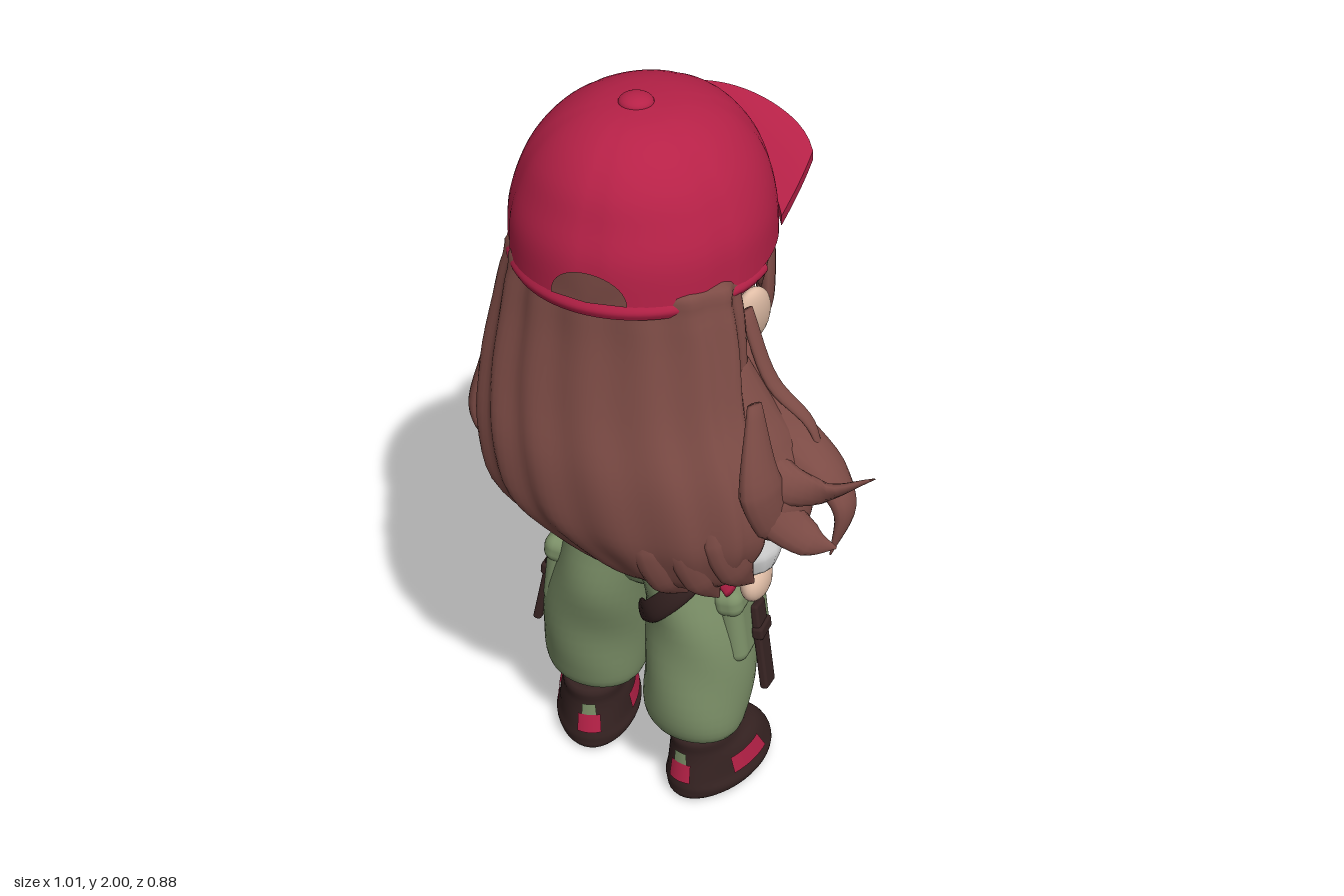
import * as THREE from 'three';
import { mergeVertices } from 'three/addons/utils/BufferGeometryUtils.js';
import { RoundedBoxGeometry } from 'three/addons/geometries/RoundedBoxGeometry.js';

const mat = (name, color, side = THREE.FrontSide) => {
  const m = new THREE.MeshStandardMaterial({ color, side });
  m.name = name;
  return m;
};
const CX = -0.125; // the body's own centre line

// Closed skin over a grid of points, rows running along the part
function skin(grid) {
  const n = grid[0].length, index = [];
  for (let i = 0; i < grid.length - 1; i++) for (let j = 0; j < n - 1; j++) {
    const a = i * n + j, c = a + n;
    index.push(a, a + 1, c + 1, a, c + 1, c);
  }
  let g = new THREE.BufferGeometry().setFromPoints(grid.flat());
  g.setIndex(index);
  g = mergeVertices(g, 1e-5);
  g.computeVertexNormals();
  return g;
}

// Smooth stack of ellipses, rows ascending: [y, cx, cz, rx, rz]
function loft(rows, { n = 40, from = 0, to = Math.PI * 2, ridge = () => 1 } = {}) {
  const curve = (f) => new THREE.CatmullRomCurve3(rows.map(f), false, 'catmullrom', 0.5);
  const mid = curve((r) => new THREE.Vector3(r[1], r[0], r[2]));
  const rad = curve((r) => new THREE.Vector3(r[3], 0, r[4]));
  const count = (rows.length - 1) * 4, grid = [];
  for (let i = 0; i <= count; i++) {
    const p = mid.getPoint(i / count), r = rad.getPoint(i / count), row = [];
    for (let j = 0; j <= n; j++) {
      const a = from + (to - from) * (j === n && to - from > 6.28 ? 0 : j / n), k = ridge(a, p.y);
      row.push(new THREE.Vector3(p.x + Math.max(r.x, 0) * k * Math.sin(a), p.y, p.z + Math.max(r.z, 0) * k * Math.cos(a)));
    }
    grid.push(row);
  }
  return skin(grid);
}

// Tapered strand along a path, flattened towards a vertical axis at (cx, cz)
function strand(points, radii, flat = 1, cx = CX, cz = 0.05) {
  const curve = new THREE.CatmullRomCurve3(points.map((p) => new THREE.Vector3(...p)));
  const count = (points.length - 1) * 6, n = 14, grid = [];
  for (let i = -1; i <= count + 1; i++) {
    const t = Math.min(Math.max(i / count, 0), 1), p = curve.getPoint(t), T = curve.getTangent(t);
    const N = new THREE.Vector3(p.x - cx, 0, p.z - cz);
    N.addScaledVector(T, -N.dot(T)).normalize();
    const B = new THREE.Vector3().crossVectors(N, T);
    const f = t * (radii.length - 1), k = Math.min(Math.floor(f), radii.length - 2);
    const r = i < 0 || i > count ? 0 : radii[k] + (radii[k + 1] - radii[k]) * (f - k);
    const row = [];
    for (let j = 0; j <= n; j++) {
      const a = ((j % n) / n) * Math.PI * 2;
      row.push(p.clone().addScaledVector(B, r * Math.cos(a)).addScaledVector(N, r * flat * Math.sin(a)));
    }
    grid.push(row);
  }
  return skin(grid);
}

export function createModel() {
  const root = new THREE.Group();
  root.name = 'girlWithCap';
  const red = mat('crimson', 0xb62147, THREE.DoubleSide), hair = mat('hairBrown', 0x7c4b45);
  const skinM = mat('skin', 0xe0bda6), white = mat('white', 0xe6e6e6);
  const green = mat('olive', 0x7b8f67), dark = mat('darkBrown', 0x362322), iris = mat('irisBrown', 0x6a3a38);
  const add = (name, geo, m, parent = root) => {
    const mesh = new THREE.Mesh(geo, m);
    mesh.name = name;
    parent.add(mesh);
    return mesh;
  };
  const ball = (name, m, p, s, parent) => {
    const b = add(name, new THREE.SphereGeometry(1, 24, 16), m, parent);
    b.position.set(...p);
    b.scale.set(...s);
    return b;
  };

  // Head, neck, ears and eyes
  add('head', loft([[1.29, CX, -0.06, 0, 0], [1.3, CX, -0.06, 0.1, 0.1], [1.335, CX, -0.03, 0.18, 0.17], [1.42, CX, 0, 0.235, 0.23],
    [1.5, CX, 0.02, 0.245, 0.225], [1.6, CX, 0.04, 0.25, 0.23], [1.7, CX, 0.05, 0.25, 0.23], [1.8, CX, 0.05, 0.2, 0.2], [1.85, CX, 0.05, 0, 0]]), skinM);
  add('neck', loft([[1.22, CX, 0.015, 0.058, 0.053], [1.38, CX, 0.015, 0.058, 0.053]]), skinM);
  add('collar', loft([[1.255, CX, 0.015, 0.085, 0.07], [1.28, CX, 0.015, 0.077, 0.066], [1.305, CX, 0.015, 0.066, 0.058]]), dark);
  for (const s of [-1, 1]) {
    const ear = ball('ear', skinM, [CX + s * 0.258, 1.465, 0.04], [0.03, 0.086, 0.056]);
    ear.rotation.set(0.22, s * -0.45, s * -0.12);
    const eye = new THREE.Group();
    eye.name = 'eye';
    eye.position.set(CX + s * 0.12, 1.5, -0.178);
    eye.rotation.y = -s * 0.48;
    ball('eyeWhite', white, [0, 0, -0.001], [0.054, 0.054, 0.005], eye);
    ball('iris', iris, [0, 0, -0.004], [0.042, 0.054, 0.005], eye);
    ball('pupil', dark, [0, 0.005, -0.007], [0.014, 0.022, 0.004], eye);
    ball('lash', dark, [0, 0.052, -0.005], [0.052, 0.007, 0.005], eye);
    root.add(eye);
  }

  // Cap: crown, rear rim and opening, button, arched brim
  const seam = (a) => 1 - 0.014 * (1 - Math.abs(Math.sin(3 * a))) ** 4;
  const crown = loft([[1.61, CX, 0.05, 0.305, 0.32], [1.72, CX, 0.05, 0.3, 0.315], [1.8, CX, 0.042, 0.28, 0.298], [1.87, CX, 0.042, 0.243, 0.27],
    [1.93, CX, 0.045, 0.185, 0.215], [1.97, CX, 0.06, 0.105, 0.125], [1.985, CX, 0.08, 0, 0]], { n: 72, ridge: seam });
  const cp = crown.attributes.position;
  for (let i = 0; i < cp.count; i++) {
    const y = cp.getY(i);
    if (y < 1.75) cp.setY(i, y + (0.37 - cp.getZ(i)) * 0.08 * (1.75 - y) / 0.14);
  }
  crown.computeVertexNormals();
  add('capCrown', crown, red);
  add('capRearStrap', loft([[1.6, CX, 0.05, 0.3, 0.318], [1.618, CX, 0.05, 0.309, 0.325], [1.638, CX, 0.05, 0.3, 0.318]], { from: -1.5, to: 1.5 }), red);
  ball('capButton', red, [CX, 1.98, 0.08], [0.04, 0.02, 0.04]);
  const hole = new THREE.CircleGeometry(1, 20, 0, Math.PI), hp = hole.attributes.position;
  for (let i = 0; i < hp.count; i++) {
    const dx = hp.getX(i) * 0.09;
    hp.setXYZ(i, CX + dx, 1.638 + hp.getY(i) * 0.075, 0.057 + 0.319 * Math.sqrt(1 - (dx / 0.305) ** 2));
  }
  hole.computeVertexNormals();
  add('capOpening', hole, hair);
  const brim = new THREE.BoxGeometry(2, 1, 1, 28, 1, 8), bp = brim.attributes.position;
  for (let i = 0; i < bp.count; i++) {
    const u = bp.getX(i), v = 0.5 - bp.getZ(i), u2 = u * u;
    const z0 = 0.06 - 0.31 * Math.sqrt(1 - 0.8 * u2), z1 = -0.44 + 0.045 * u2 + 0.045 * u2 ** 4;
    bp.setXYZ(i, CX + u * (0.285 - 0.02 * v), 1.738 - 0.085 * u2 + 0.022 * v * v * v + bp.getY(i) * 0.026, z0 + (z1 - z0) * v);
  }
  brim.computeVertexNormals();
  add('capBrim', brim, red);

  // Long back hair, thinner at the right rear, with pointed ends
  const waves = (a, y) => 1 + 0.025 * Math.cos(13 * a + 5 * y) - 0.09 * Math.max(0, Math.cos(a + 0.785)) ** 4;
  add('backHair', loft([[0.85, 0.04, 0.29, 0, 0], [0.9, 0.01, 0.295, 0.17, 0.08], [0.97, -0.035, 0.3, 0.27, 0.115], [1.06, -0.075, 0.305, 0.34, 0.135],
    [1.2, -0.1, 0.29, 0.35, 0.145], [1.35, CX, 0.255, 0.325, 0.14], [1.5, CX, 0.22, 0.303, 0.14], [1.6, CX, 0.2, 0.282, 0.145],
    [1.66, CX, 0.18, 0.25, 0.15], [1.7, CX, 0.17, 0, 0]], { n: 96, ridge: waves }), hair);
  const ends = [[-0.36, 1.0], [-0.29, 0.94], [-0.2, 0.91], [-0.1, 0.88], [-0.02, 0.86], [0.06, 0.83], [0.14, 0.84], [0.21, 0.87], [0.28, 1.0]];
  ends.forEach(([x, y], i) => {
    const z = 0.395 - 1.1 * (x - 0.01) ** 2, top = x * 0.9 - 0.02;
    add('hairEnd', strand([[top, y + 0.4, z - 0.03], [x - 0.02, y + 0.2, z], [x, y + 0.09, z - 0.03], [x + 0.015, y, z - 0.08 - 0.02 * (i % 2)]],
      [0.02, 0.06, 0.05, 0.003], 0.5, CX, 0.1), hair);
  });
  const loose = [
    [[[-0.41, 1.55, 0.14], [-0.455, 1.33, 0.2], [-0.495, 1.17, 0.22], [-0.47, 1.08, 0.2], [-0.39, 1.06, 0.2]], [0.03, 0.03, 0.022, 0.015, 0.003]],
    [[[0.16, 1.55, 0.15], [0.23, 1.38, 0.16], [0.32, 1.28, 0.15], [0.36, 1.17, 0.16]], [0.02, 0.02, 0.015, 0.003]],
    [[[0.15, 1.4, 0.24], [0.26, 1.2, 0.26], [0.38, 1.17, 0.24], [0.5, 1.23, 0.23]], [0.05, 0.06, 0.035, 0.003]],
    [[[0.14, 1.45, 0.18], [0.25, 1.27, 0.16], [0.37, 1.17, 0.17], [0.42, 1.1, 0.19], [0.4, 0.98, 0.22]], [0.05, 0.07, 0.06, 0.04, 0.003]],
    [[[0.15, 1.35, 0.28], [0.25, 1.15, 0.28], [0.36, 1.04, 0.26], [0.42, 1.02, 0.24]], [0.05, 0.07, 0.04, 0.003]],
    [[[0.13, 1.45, 0.22], [0.22, 1.25, 0.23], [0.3, 1.12, 0.23], [0.33, 0.99, 0.25]], [0.06, 0.1, 0.08, 0.003]],
    [[[-0.36, 1.45, 0], [-0.375, 1.32, -0.07], [-0.36, 1.2, -0.13], [-0.345, 1.07, -0.215]], [0.05, 0.062, 0.055, 0.003]],
  ];
  for (const [path, radii] of loose) add('looseLock', strand(path, radii, 0.55), hair);

  // Fringe under the cap
  add('hairline', loft([[1.585, CX, 0.04, 0.25, 0.23], [1.605, CX, 0.04, 0.268, 0.25], [1.74, CX, 0.04, 0.265, 0.25]]), hair);
  const fringe = [
    [[[0.03, 1.7, -0.21], [0.05, 1.63, -0.225], [0.07, 1.555, -0.225]], [0.05, 0.04, 0.003]],
    [[[0.14, 1.7, -0.18], [0.18, 1.61, -0.165], [0.21, 1.5, -0.125]], [0.06, 0.045, 0.003]],
    [[[0.2, 1.7, -0.12], [0.235, 1.58, -0.095], [0.252, 1.46, -0.07], [0.235, 1.34, -0.08]], [0.07, 0.068, 0.052, 0.003]],
    [[[0.24, 1.7, -0.02], [0.26, 1.6, 0.0], [0.255, 1.5, -0.03]], [0.07, 0.06, 0.003]],
  ];
  for (const s of [-1, 1]) for (const [path, radii] of fringe)
    add('fringeLock', strand(path.map(([x, y, z]) => [CX + s * x, y, z]), radii, 0.4), hair);

  // Sweatshirt, sleeves and hands
  add('sweatshirt', loft([[0.86, CX, -0.01, 0.165, 0.13], [0.89, CX, -0.01, 0.195, 0.15], [0.97, CX, -0.01, 0.2, 0.155], [1.1, CX, -0.005, 0.185, 0.148],
    [1.2, CX, 0.005, 0.155, 0.125], [1.25, CX, 0.01, 0.1, 0.085], [1.27, CX, 0.015, 0.065, 0.055]]), white);
  add('leftSleeve', strand([[-0.03, 1.2, 0.03], [0.05, 1.13, 0.05], [0.105, 1.0, 0.07], [0.135, 0.9, 0.075], [0.155, 0.83, 0.075], [0.165, 0.78, 0.075]],
    [0.06, 0.09, 0.095, 0.092, 0.078, 0.05]), white);
  add('rightSleeve', strand([[-0.22, 1.2, 0.03], [-0.295, 1.11, 0.045], [-0.33, 0.99, 0.05], [-0.33, 0.91, 0.01], [-0.315, 0.85, -0.045]],
    [0.06, 0.085, 0.088, 0.08, 0.045]), white);
  ball('leftHand', skinM, [0.168, 0.735, 0.075], [0.036, 0.055, 0.064]);
  ball('leftThumb', skinM, [0.15, 0.745, 0.02], [0.018, 0.035, 0.02]);
  ball('rightHand', skinM, [-0.295, 0.825, -0.075], [0.036, 0.042, 0.036]);

  // Baggy trousers
  const fold = (a, y) => 1 + 0.022 * Math.sin(3 * a + 22 * y);
  add('hips', loft([[0.62, CX, 0.01, 0, 0], [0.65, CX, 0.01, 0.09, 0.09], [0.72, CX, 0.01, 0.16, 0.13], [0.8, CX, 0, 0.185, 0.145], [0.89, CX, -0.01, 0.17, 0.135]]), green);
  add('belt', loft([[0.855, CX, -0.01, 0.18, 0.145], [0.87, CX, -0.01, 0.184, 0.152], [0.885, CX, -0.01, 0.18, 0.145]], { from: 1.6, to: 4.2 }), dark);
  add('leftLeg', loft([[0.215, 0.015, 0.08, 0.05, 0.05], [0.24, 0.015, 0.08, 0.112, 0.1], [0.31, 0.012, 0.075, 0.138, 0.125], [0.45, 0.015, 0.05, 0.14, 0.145],
    [0.6, 0.005, 0.025, 0.134, 0.16], [0.74, -0.03, 0.01, 0.128, 0.158], [0.85, -0.06, 0, 0.11, 0.14], [0.89, -0.07, 0, 0, 0]], { ridge: fold }), green);
  add('rightLeg', loft([[0.215, -0.305, -0.03, 0.05, 0.05], [0.24, -0.305, -0.03, 0.115, 0.105], [0.31, -0.305, -0.035, 0.143, 0.13], [0.45, -0.293, -0.02, 0.145, 0.14],
    [0.6, -0.26, 0, 0.136, 0.155], [0.74, -0.22, 0, 0.128, 0.155], [0.85, -0.19, 0, 0.11, 0.14], [0.89, -0.18, 0, 0, 0]], { ridge: fold }), green);
  for (const [s, x, z] of [[1, 0.118, 0.025], [-1, -0.374, -0.02]]) {
    const pocket = new THREE.Group();
    pocket.name = 'cargoPocket';
    pocket.position.set(x, 0.58, z);
    pocket.rotation.z = s * 0.12;
    add('pocketBag', new RoundedBoxGeometry(0.066, 0.2, 0.2, 4, 0.032), green, pocket);
    add('pocketFlap', new RoundedBoxGeometry(0.078, 0.075, 0.215, 4, 0.03), green, pocket).position.y = 0.085;
    const strap = add('pocketStrap', new RoundedBoxGeometry(0.022, 0.24, 0.058, 2, 0.008), dark, pocket);
    strap.position.set(s * 0.046, -0.085, 0.012);
    strap.rotation.set(-0.12, 0, s * 0.06);
    add('strapBuckle', new RoundedBoxGeometry(0.03, 0.035, 0.07, 2, 0.008), dark, pocket).position.set(s * 0.046, -0.04, 0.005);
    root.add(pocket);
  }

  // Thigh harness, hip strap and red sash
  add('thighHarness', strand([[-0.12, 0.57, 0.1], [-0.07, 0.63, 0.165], [0, 0.71, 0.175], [0.06, 0.78, 0.13], [0.1, 0.78, 0.05],
    [0.112, 0.73, -0.04], [0.08, 0.66, -0.115], [0, 0.6, -0.145]], [0.03, 0.035], 0.4, 0, 0.01), dark);
  add('hipStrap', strand([[-0.21, 0.84, 0.13], [-0.3, 0.835, 0.09], [-0.345, 0.74, 0.07]], [0.027, 0.027], 0.4), dark);
  add('sashBelt', strand([[-0.04, 0.84, 0.145], [0.03, 0.83, 0.13], [0.085, 0.81, 0.06], [0.09, 0.83, -0.04], [0.05, 0.86, -0.125],
    [-0.03, 0.872, -0.16], [-0.15, 0.88, -0.155]], [0.03, 0.024], 0.6, CX, 0), red);
  add('sashEnd', strand([[0.05, 0.82, 0.14], [0.09, 0.78, 0.13], [0.115, 0.71, 0.1]], [0.025, 0.03], 0.4), red);
  ball('sashKnot', red, [0.04, 0.868, -0.145], [0.03, 0.028, 0.025]);
  add('sashTail', strand([[0.04, 0.87, -0.158], [0.045, 0.7, -0.17], [0.05, 0.4, -0.172]], [0.02, 0.021, 0.024], 0.6, CX, 0), red);

  // Chunky shoes with coloured patches and a heel tab
  const shoe = [[0, 0, -0.02, 0.095, 0.165], [0.03, 0, -0.02, 0.112, 0.175], [0.065, 0, -0.018, 0.104, 0.172], [0.12, 0, 0, 0.096, 0.145],
    [0.155, 0, 0.035, 0.083, 0.108], [0.2, 0, 0.062, 0.072, 0.08]];
  const patch = (row, from, to) => loft(shoe.slice(row, row + 2).map(([y, x, z, rx, rz]) => [y, x, z, rx + 0.004, rz + 0.004]), { from, to });
  for (const [x, z, turn, ax, az] of [[0.033, 0, -0.28, 0.015, 0.075], [-0.335, -0.085, 0.25, -0.31, -0.02]]) {
    const foot = new THREE.Group();
    foot.name = 'foot';
    foot.position.set(x, 0.005, z);
    foot.rotation.y = turn;
    add('shoe', loft([[0, 0, -0.02, 0, 0], [0.001, 0, -0.02, 0.085, 0.155], ...shoe.slice(1), [0.21, 0, 0.062, 0, 0]]), dark, foot);
    add('heelPatch', patch(2, -0.3, 0.3), red, foot);
    add('heelTab', patch(3, -0.2, 0.2), green, foot);
    for (const a of [1.2, -2]) add('sidePatch', patch(2, a, a + 0.8), red, foot);
    for (const k of [0, 1, 2]) ball('lace', dark, [0, 0.13 + k * 0.022, -0.1 + k * 0.04], [0.05, 0.01, 0.014], foot);
    root.add(foot);
    add('ankle', loft([[0.15, ax, az, 0.055, 0.055], [0.26, ax, az, 0.055, 0.055]]), skinM);
  }
  return root;
}
